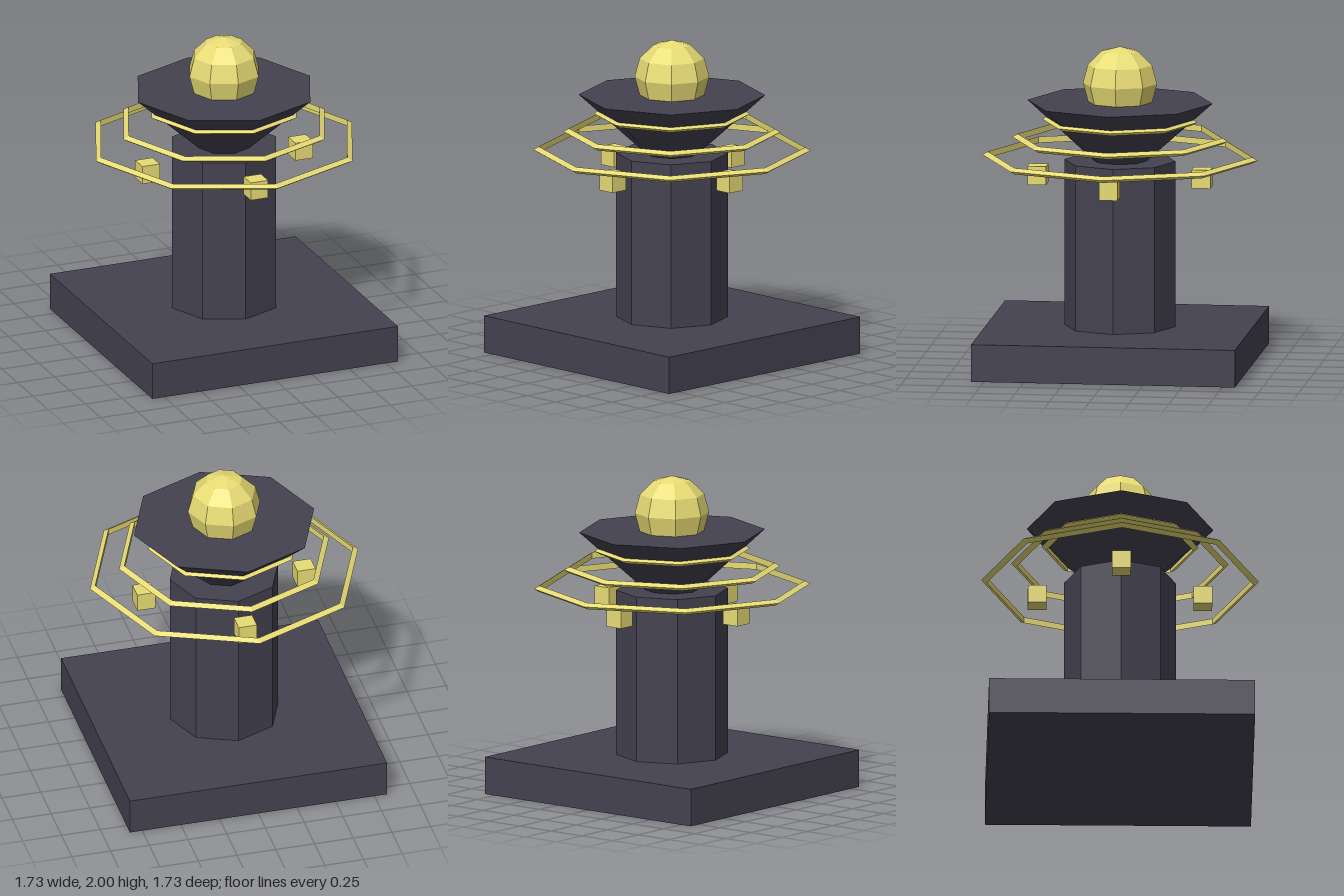
import * as THREE from 'three';

const SIDES = 8;
const stone = new THREE.MeshStandardMaterial({ color: 0x444250, flatShading: true });
const gold = new THREE.MeshStandardMaterial({ color: 0xe8dc74, flatShading: true });

export function createModel() {
  const model = new THREE.Group();

  const add = (name, geometry, material, x, y, z) => {
    const mesh = new THREE.Mesh(geometry, material);
    mesh.name = name;
    mesh.position.set(x, y, z);
    model.add(mesh);
    return mesh;
  };

  // Square plinth and octagonal column
  const baseTop = 0.235, columnTop = 1.28, capTop = 1.65;
  add('base', new THREE.BoxGeometry(1.66, baseTop, 1.66), stone, 0, baseTop / 2, 0);
  const columnHeight = columnTop - baseTop;
  add('column', new THREE.CylinderGeometry(0.35, 0.35, columnHeight, SIDES), stone,
    0, baseTop + columnHeight / 2, 0);

  // Flared cap widening upwards from the column
  const capHeight = capTop - columnTop;
  add('flaredCap', new THREE.CylinderGeometry(0.582, 0.17, capHeight, SIDES), stone,
    0, columnTop + capHeight / 2, 0);

  // Faceted orb sunk into the cap
  add('orb', new THREE.SphereGeometry(0.233, SIDES, 6), gold, 0, 1.767, 0);

  // Octagonal rings with a triangular section, shrinking upwards
  [0.843, 0.655, 0.466].forEach((radius, i) => {
    const geometry = new THREE.TorusGeometry(radius, 0.023, 3, SIDES).rotateX(Math.PI / 2);
    add(`ring${i + 1}`, geometry, gold, 0, 1.297 + i * 0.1165, 0);
  });

  // Four floating cubes around the column
  const cube = new THREE.BoxGeometry(0.117, 0.117, 0.117);
  for (let i = 0; i < 4; i++) {
    const a = (i * Math.PI) / 2;
    add(`floatingCube${i + 1}`, cube, gold, 0.517 * Math.cos(a), 1.18, 0.517 * Math.sin(a));
  }

  return model;
}
